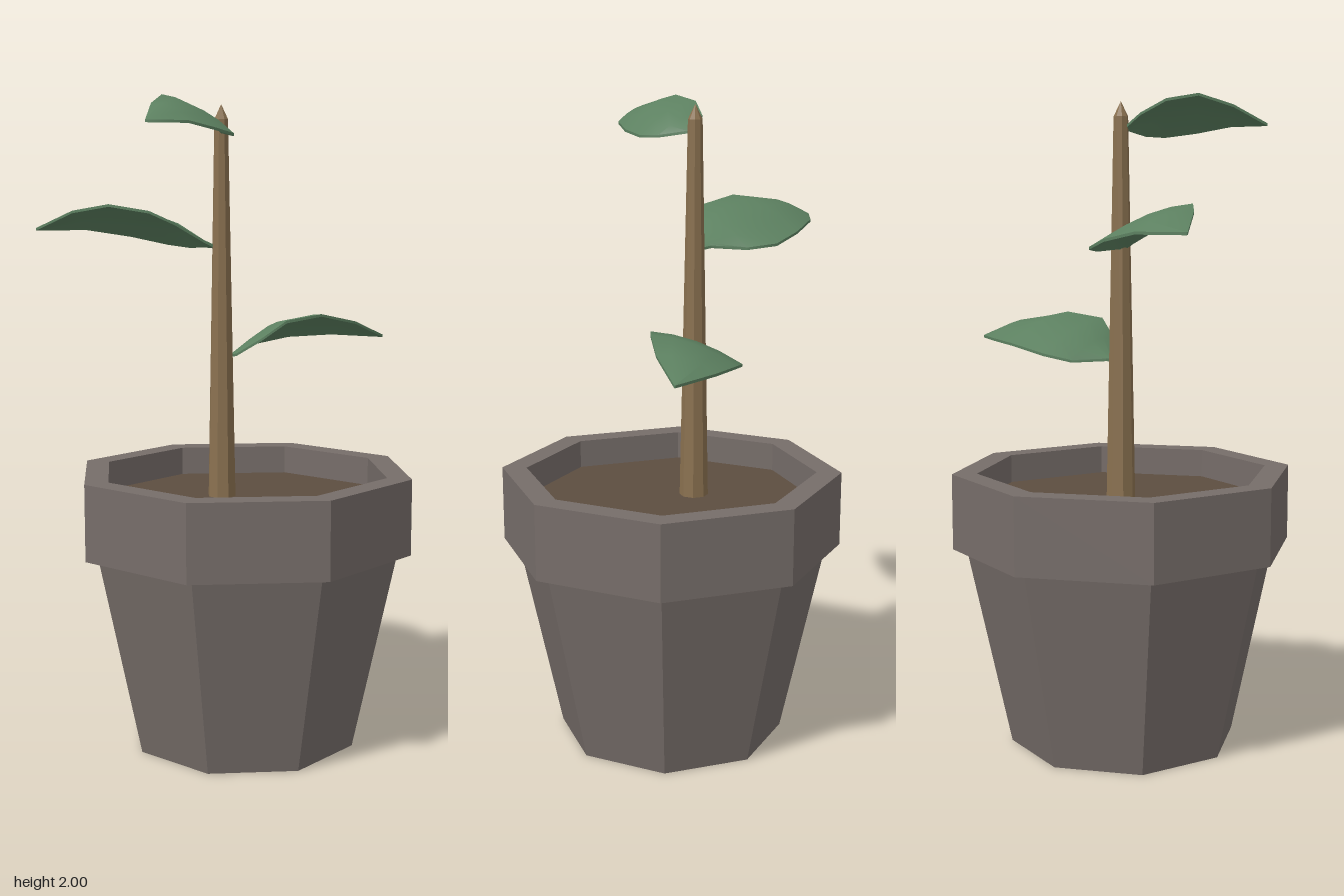
import * as THREE from 'three';
import { toCreasedNormals } from 'three/addons/utils/BufferGeometryUtils.js';

const paint = (color, flatShading = true) => new THREE.MeshStandardMaterial({ color, flatShading });

// Eight-sided turned part from [radius, height] pairs
function turned(name, profile, material) {
  const points = profile.map(([r, y]) => new THREE.Vector2(r, y));
  const mesh = new THREE.Mesh(new THREE.LatheGeometry(points, 8), material);
  mesh.name = name;
  return mesh;
}

// Thin arched blade between a left and a right edge, as seen looking from stalk to tip
function leaf(name, left, right, material) {
  const thickness = 0.008, arch = 0.02, across = 4, n = left.length;
  const positions = [], index = [];
  for (const drop of [0, thickness]) {
    for (let i = 0; i < n; i++) {
      const a = new THREE.Vector3(...left[i]), b = new THREE.Vector3(...right[i]);
      const lift = arch * Math.min(1, a.distanceTo(b) / 0.2);
      for (let j = 0; j <= across; j++) {
        const t = j / across, p = a.clone().lerp(b, t);
        p.y += lift * 4 * t * (1 - t) - drop;
        positions.push(p.x, p.y, p.z);
      }
    }
  }
  const row = across + 1, under = n * row;
  const quad = (a, b, c, d) => index.push(a, b, c, a, c, d);
  for (let i = 0; i < n - 1; i++) {
    for (let j = 0; j < across; j++) {
      // upper and lower skin
      const a = i * row + j, b = a + 1, c = b + row, d = a + row;
      quad(a, b, c, d);
      quad(under + a, under + d, under + c, under + b);
    }
    // side walls
    const l = i * row, r = l + across;
    quad(l, l + row, under + l + row, under + l);
    quad(r, under + r, under + r + row, r + row);
  }
  // end walls at the stalk and the tip
  for (let j = 0; j < across; j++) {
    const tip = (n - 1) * row + j;
    quad(j, under + j, under + j + 1, j + 1);
    quad(tip, tip + 1, under + tip + 1, under + tip);
  }

  const geometry = new THREE.BufferGeometry();
  geometry.setAttribute('position', new THREE.Float32BufferAttribute(positions, 3));
  geometry.setIndex(index);
  const mesh = new THREE.Mesh(toCreasedNormals(geometry, 0.8), material);
  mesh.name = name;
  return mesh;
}

export function createModel() {
  const plant = new THREE.Group();
  plant.name = 'pottedPlant';

  // Tapered pot with an overhanging rim and an inner wall down to the soil
  plant.add(turned('pot', [
    [0, 0], [0.355, 0], [0.49, 0.625], [0.532, 0.625],
    [0.532, 0.86], [0.455, 0.86], [0.455, 0.77],
  ], paint(0x766d69)));
  plant.add(turned('soil', [[0.455, 0.77], [0, 0.77]], paint(0x5c4d40)));

  // Tapering stem with a pointed tip
  const stem = turned('stem', [[0.045, 0.76], [0.022, 1.935], [0, 1.98]], paint(0x8a7150));
  stem.position.set(-0.042, 0, -0.07);
  plant.add(stem);

  // Three leaves, each given by its left and right edges from stalk to tip
  const green = paint(0x5c8060, false);
  plant.add(leaf('lowerLeaf',
    [[-0.03, 1.215, -0.08], [0, 1.215, -0.09], [0.07, 1.213, -0.17], [0.14, 1.233, -0.22],
      [0.27, 1.255, -0.205], [0.40, 1.262, -0.15], [0.53, 1.257, -0.042]],
    [[-0.03, 1.215, -0.06], [0, 1.22, -0.05], [0.05, 1.27, 0.02], [0.12, 1.325, 0.055],
      [0.25, 1.34, 0.045], [0.39, 1.31, 0.02], [0.53, 1.257, -0.038]], green));
  plant.add(leaf('middleLeaf',
    [[-0.055, 1.55, -0.07], [-0.095, 1.57, -0.08], [-0.20, 1.625, -0.07], [-0.275, 1.66, -0.09],
      [-0.37, 1.68, -0.18], [-0.445, 1.66, -0.29], [-0.515, 1.605, -0.428]],
    [[-0.04, 1.55, -0.08], [-0.075, 1.555, -0.12], [-0.073, 1.55, -0.23], [-0.11, 1.558, -0.32],
      [-0.21, 1.583, -0.385], [-0.345, 1.605, -0.43], [-0.513, 1.605, -0.43]], green));
  plant.add(leaf('upperLeaf',
    [[-0.045, 1.9, -0.06], [-0.055, 1.9, -0.045], [-0.055, 1.888, 0.04], [-0.085, 1.886, 0.10],
      [-0.165, 1.898, 0.15], [-0.27, 1.916, 0.18], [-0.398, 1.915, 0.177]],
    [[-0.045, 1.905, -0.075], [-0.065, 1.912, -0.07], [-0.125, 1.943, -0.088], [-0.20, 1.982, -0.065],
      [-0.27, 1.998, 0], [-0.34, 1.967, 0.08], [-0.4, 1.915, 0.175]], green));
  return plant;
}
